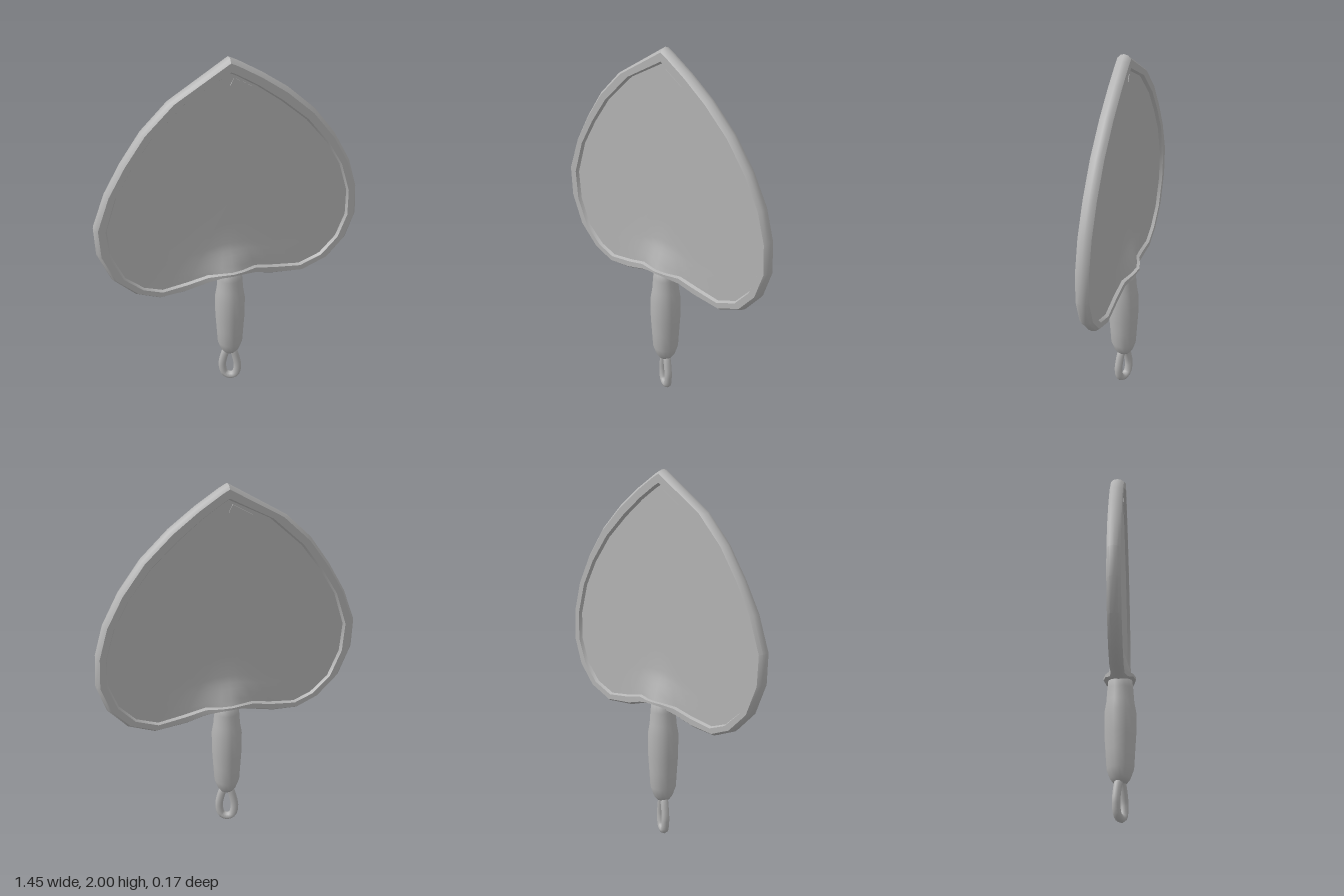
import * as THREE from 'three';
import { toCreasedNormals } from 'three/addons/utils/BufferGeometryUtils.js';

// Heart outline, clockwise from the tip: outer x, y, inner x, y
const OUTLINE = [
  [0, 2, 0, 1.92], [0.04, 1.98, 0.03, 1.905], [0.17, 1.9, 0.14, 1.835], [0.31, 1.8, 0.27, 1.735],
  [0.46, 1.66, 0.41, 1.61], [0.58, 1.5, 0.53, 1.46], [0.67, 1.33, 0.61, 1.32], [0.715, 1.17, 0.66, 1.15],
  [0.723, 1.0, 0.66, 1.0], [0.67, 0.85, 0.61, 0.87], [0.57, 0.74, 0.52, 0.775], [0.42, 0.68, 0.4, 0.73],
  [0.24, 0.695, 0.25, 0.75], [0.14, 0.725, 0.14, 0.775], [0.06, 0.75, 0.06, 0.775], [0, 0.757, 0, 0.778],
  [-0.06, 0.748, -0.06, 0.775], [-0.13, 0.715, -0.13, 0.765], [-0.26, 0.677, -0.24, 0.735], [-0.4, 0.668, -0.38, 0.715],
  [-0.53, 0.72, -0.48, 0.75], [-0.65, 0.835, -0.58, 0.835], [-0.72, 1.0, -0.645, 0.98], [-0.727, 1.16, -0.66, 1.14],
  [-0.66, 1.34, -0.6, 1.33], [-0.57, 1.5, -0.51, 1.48], [-0.46, 1.66, -0.4, 1.63], [-0.32, 1.8, -0.22, 1.8],
];
const CENTRE_Y = 1.2;

// Swelling around the top of the handle, on both faces
function swell(x, y, z) {
  const fade = THREE.MathUtils.clamp((0.92 - y) / 0.14, 0, 1);
  return z + Math.sign(z) * 0.05 * Math.exp(-((x / 0.11) ** 2)) * fade - 0.002;
}

// Closed strip surface through rings of points
function surface(rings) {
  const n = rings[0].length, index = [];
  for (let r = 0; r < rings.length - 1; r++) {
    for (let i = 0; i < n; i++) {
      const j = (i + 1) % n;
      const a = r * n + i, b = r * n + j, c = b + n, d = a + n;
      index.push(a, c, b, a, d, c);
    }
  }
  const g = new THREE.BufferGeometry();
  g.setAttribute('position', new THREE.Float32BufferAttribute(rings.flat(2), 3));
  g.setIndex(index);
  g.computeVertexNormals();
  return g;
}

// Rim ring: t runs from the inner (0) to the outer (1) outline
const rimRing = (t, z) => OUTLINE.map(([ox, oy, ix, iy]) => {
  const x = ix + (ox - ix) * t, y = iy + (oy - iy) * t;
  return [x, y, swell(x, y, z)];
});

// Panel ring: the inner outline shrunk toward the middle
const panelRing = (s, z) => OUTLINE.map(([, , ix, iy]) => {
  const x = ix * s, y = CENTRE_Y + (iy - CENTRE_Y) * s;
  return [x, y, swell(x, y, z)];
});

export function createModel() {
  const model = new THREE.Group();
  const grey = new THREE.MeshStandardMaterial({ color: 0xb4b4b4 });
  grey.name = 'plain grey';
  const add = (name, geometry) => {
    const mesh = new THREE.Mesh(geometry, grey);
    mesh.name = name;
    model.add(mesh);
    return mesh;
  };

  // Raised rim with a bevelled outer edge
  const profile = [[0, -0.018], [0.14, -0.035], [0.72, -0.035], [0.93, -0.02], [1, 0],
    [0.93, 0.02], [0.72, 0.035], [0.14, 0.035], [0, 0.018]];
  add('rim', toCreasedNormals(surface(profile.map(([t, z]) => rimRing(t, z))), 0.6));

  // Fan panels, front and back
  const scales = [1, 0.93, 0.86, 0.79, 0.72, 0.62, 0.35, 0];
  add('frontPanel', surface(scales.map((s) => panelRing(s, 0.018))));
  add('backPanel', surface([...scales].reverse().map((s) => panelRing(s, -0.018))));

  // Small triangular patch near the tip of each face
  const patch = new THREE.Shape([[0.02, 1.895], [0.0, 1.855], [0.13, 1.828]]
    .map(([x, y]) => new THREE.Vector2(x, y)));
  for (const turn of [0, Math.PI]) {
    const mesh = add(turn ? 'backPatch' : 'frontPatch',
      new THREE.ExtrudeGeometry(patch, { depth: 0.006, bevelEnabled: false }));
    mesh.rotation.y = turn;
    mesh.position.z = turn ? -0.017 : 0.013;
  }

  // Swollen grip
  const grip = [[0, 0.2], [0.035, 0.203], [0.052, 0.225], [0.07, 0.275], [0.076, 0.37], [0.082, 0.46],
    [0.083, 0.58], [0.073, 0.64], [0.068, 0.71], [0.06, 0.79], [0, 0.8]];
  add('handle', new THREE.LatheGeometry(grip.map(([r, y]) => new THREE.Vector2(r, y)), 16))
    .position.x = 0.005;

  // Hanging loop, turned slightly about the handle
  const path = [[0, 0.022], [0.03, 0.035], [0.044, 0.09], [0.036, 0.15], [0.018, 0.205], [0, 0.225],
    [-0.018, 0.205], [-0.036, 0.15], [-0.044, 0.09], [-0.03, 0.035]];
  const curve = new THREE.CatmullRomCurve3(path.map(([x, y]) => new THREE.Vector3(x, y, 0)), true);
  const loop = add('hangingLoop', new THREE.TubeGeometry(curve, 32, 0.022, 8, true));
  loop.position.x = 0.005;
  loop.rotation.y = -0.45;

  return model;
}
